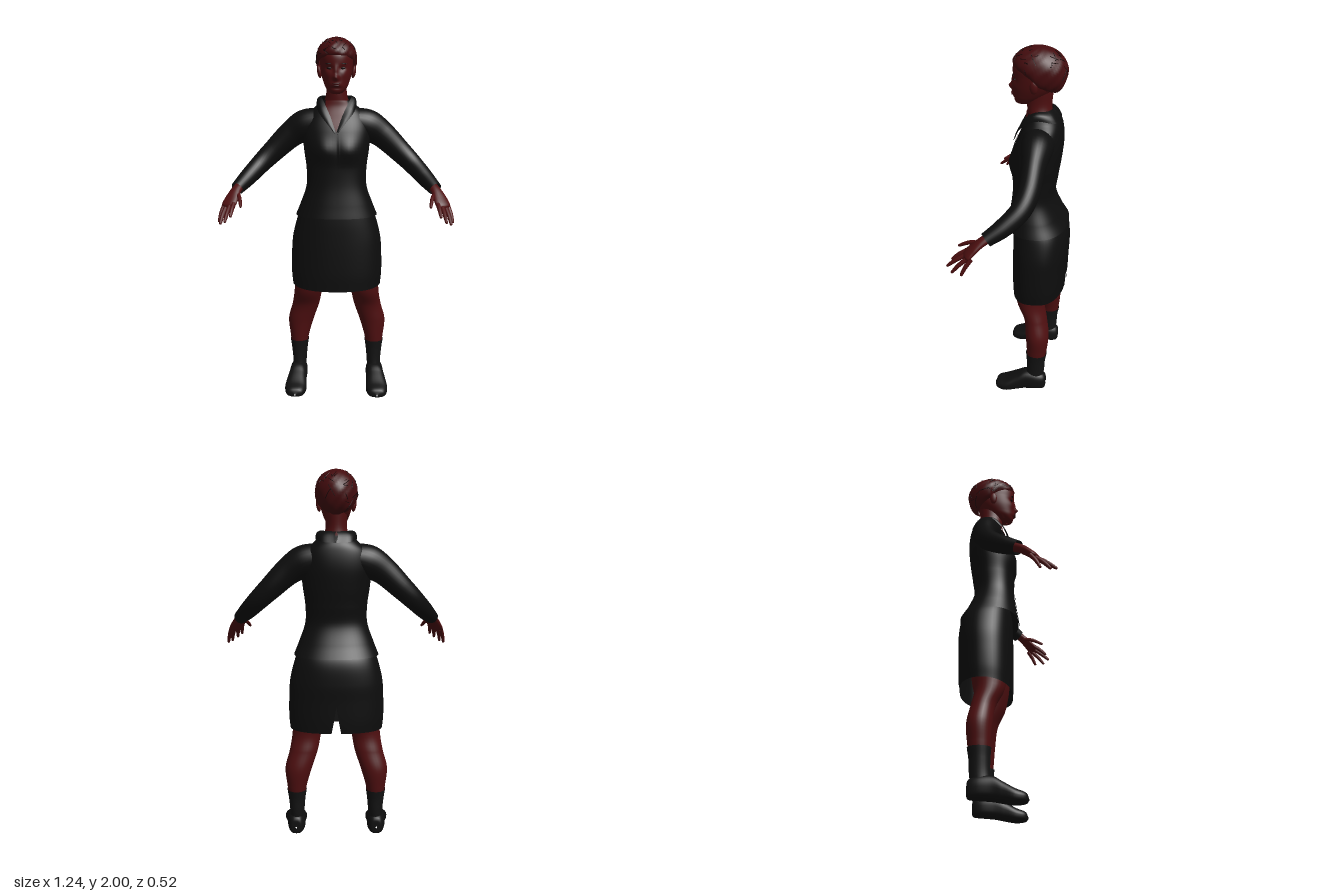
import * as THREE from 'three';
import { ParametricGeometry } from 'three/addons/geometries/ParametricGeometry.js';

const material = (name, color, side = THREE.FrontSide) => {
  const m = new THREE.MeshStandardMaterial({ color, side });
  m.name = name;
  return m;
};
const V = (a) => new THREE.Vector3(a[0], a[1], a[2]);
const TAU = Math.PI * 2;
const pow = (s, e) => Math.sign(s) * Math.pow(Math.abs(s), e);
const bump = (a, b) => Math.exp(-a * a - b * b);

// Smooth interpolation through rows of numbers
function sampler(rows) {
  const k = rows.length - 1;
  const a = new THREE.CatmullRomCurve3(rows.map(V), false, 'catmullrom', 0.5);
  const b = new THREE.CatmullRomCurve3(rows.map((r) => V([r[3], r[4] ?? 0, 0])), false, 'catmullrom', 0.5);
  return (v) => {
    const t = Math.min(1, Math.max(0, v)), p = a.getPoint(t), q = b.getPoint(t);
    return k ? [p.x, p.y, p.z, q.x, q.y] : rows[0];
  };
}

// Upright body: rows of [y, centreX, halfWidth, zFront, zBack]
function loft(rows, e = 1, rule = null) {
  const at = sampler(rows);
  return (u, v) => {
    const [y, cx, w, zf, zb] = at(v), th = (u - 0.5) * TAU;
    const p = [cx + w * pow(Math.sin(th), e), y, (zf + zb) / 2 + (zf - zb) / 2 * pow(Math.cos(th), e)];
    if (rule) rule(p, th, v);
    return p;
  };
}

// Limb along a path: rows of [x, y, z, horizontalRadius, otherRadius]
function limb(rows) {
  const at = sampler(rows), up = V([0, 1, 0]);
  const path = new THREE.CatmullRomCurve3(rows.map(V), false, 'catmullrom', 0.5);
  return (u, v) => {
    const [x, y, z, ra, rb] = at(v);
    const d = path.getTangent(Math.min(1, Math.max(0, v)));
    const a = up.clone().cross(d).normalize(), b = d.clone().cross(a);
    const c = ra * Math.cos(u * TAU), s = rb * Math.sin(u * TAU);
    return [x + a.x * c + b.x * s, y + a.y * c + b.y * s, z + a.z * c + b.z * s];
  };
}

export function createModel() {
  const model = new THREE.Group();
  model.name = 'woman';
  const skin = material('skin', 0x4e0f10, THREE.DoubleSide);
  const hairMat = material('hair', 0x430c0e, THREE.DoubleSide);
  const dark = material('dark strands and eyes', 0x140405);
  const lips = material('lips', 0x3a090b);
  const cloth = material('black cloth', 0x0d0d0d, THREE.DoubleSide);
  const sock = material('sock', 0x131313, THREE.DoubleSide);
  const leather = material('shoe leather', 0x101010);

  const add = (name, geo, mat) => {
    const m = new THREE.Mesh(geo, mat);
    m.name = name;
    model.add(m);
    return m;
  };
  // Parametric surface; side -1 mirrors it across x
  const surf = (name, mat, fn, nu, nv, side = 1) => add(name, new ParametricGeometry((u, v, t) => {
    const p = fn(side < 0 ? 1 - u : u, v);
    t.set(p[0] * side, p[1], p[2]);
  }, nu, nv), mat);
  const blob = (name, mat, pos, scale, rz = 0) => {
    const m = add(name, new THREE.SphereGeometry(1, 16, 10), mat);
    m.position.set(...pos);
    m.scale.set(...scale);
    m.rotation.z = rz;
  };

  // Jacket body with a soft bust
  const torso = loft([
    [1.035, 0, 0.226, 0.072, -0.25], [1.1, 0, 0.2, 0.062, -0.212], [1.2, 0, 0.166, 0.05, -0.175],
    [1.3, 0, 0.165, 0.048, -0.185], [1.4, 0, 0.178, 0.05, -0.2], [1.5, 0, 0.185, 0.033, -0.21],
    [1.58, 0, 0.165, 0, -0.205], [1.63, 0, 0.115, -0.02, -0.19], [1.665, 0, 0.075, -0.025, -0.155],
  ], 0.88, (p, th) => {
    if (Math.cos(th) > 0) p[2] += 0.02 * bump((Math.abs(p[0]) - 0.075) / 0.07, (p[1] - 1.405) / 0.06) * Math.cos(th);
  });
  surf('jacketBody', cloth, torso, 56, 48);
  // Front closing edge of the jacket
  surf('jacketPlacket', cloth, (u, v) => {
    const p = torso(0.5 + (u - 0.5) * 0.02, v * 0.62);
    return [p[0], p[1], p[2] + 0.004];
  }, 4, 30);
  // Bare chest in the neckline
  surf('neckline', skin, (u, v) => {
    const p = torso(0.5 + (u - 0.5) * 2 * 0.8 * Math.pow(v, 1.3) / TAU, 0.625 + 0.375 * v);
    return [p[0], p[1], p[2] + 0.005];
  }, 16, 16);

  // Skirt, open below, with a slit at the centre back
  const skirtAt = loft([
    [0.632, 0, 0.25, 0.04, -0.245], [0.7, 0, 0.256, 0.043, -0.249], [0.8, 0, 0.255, 0.043, -0.252],
    [0.9, 0, 0.248, 0.042, -0.256], [1.0, 0, 0.224, 0.04, -0.248], [1.06, 0, 0.2, 0.035, -0.22],
    [1.11, 0, 0.165, 0.02, -0.16],
  ], 0.85, (p, th, v) => { p[1] -= 0.022 * Math.max(0, Math.cos(th)) * Math.pow(1 - v, 8); });
  surf('skirt', cloth, (u, v) => {
    const slit = 0.022 * Math.max(0, 1 - v / 0.3);
    return skirtAt(0.5 + (u - 0.5) * (1 - slit), v);
  }, 56, 32);

  // Neck and head; a rule shapes nose, sockets, mouth and chin
  surf('neck', skin, loft([
    [1.61, 0, 0.08, -0.03, -0.16], [1.66, 0, 0.066, -0.025, -0.152], [1.71, 0, 0.055, -0.02, -0.148],
    [1.79, 0, 0.058, -0.02, -0.155],
  ]), 28, 14);
  surf('head', skin, loft([
    [1.7, 0, 0.004, 0.012, 0.002], [1.706, 0, 0.03, 0.034, -0.04], [1.73, 0, 0.054, 0.046, -0.085],
    [1.76, 0, 0.068, 0.05, -0.13], [1.8, 0, 0.08, 0.05, -0.165], [1.85, 0, 0.087, 0.05, -0.19],
    [1.9, 0, 0.088, 0.048, -0.19], [1.95, 0, 0.07, 0.02, -0.17], [1.98, 0, 0.01, -0.06, -0.08],
  ], 0.93, (p, th) => {
    if (Math.cos(th) < 0) return;
    const [x, y] = p, ax = Math.abs(x);
    p[2] += 0.022 * bump(x / 0.015, (y - 1.787) / 0.016) + 0.009 * bump(x / 0.011, (y - 1.82) / 0.025)
      - 0.009 * bump((ax - 0.035) / 0.02, (y - 1.835) / 0.014) + 0.007 * bump(x / 0.024, (y - 1.752) / 0.014)
      - 0.005 * bump(x / 0.03, (y - 1.733) / 0.008) + 0.004 * bump((ax - 0.045) / 0.02, (y - 1.8) / 0.02);
  }), 72, 64);
  blob('upperLip', lips, [0, 1.757, 0.053], [0.022, 0.0045, 0.007]);
  blob('lowerLip', lips, [0, 1.747, 0.052], [0.018, 0.005, 0.007]);

  // Short cropped hair: a dome with a hairline low at the back
  const hairPoint = (a, t, lift = 0) => {
    const f = Math.cos(a);
    const phi = t * (f > 0 ? 1.95 - 0.57 * Math.pow(f, 0.6) : 1.95 + 0.5 * -f);
    const r = 1 + lift + 0.022 * t * Math.sin(a * 9 + phi * 4) * Math.sin(phi * 9 + a * 3) - 0.1 * Math.pow(t, 12);
    const s = Math.sin(phi);
    return [0.111 * r * s * Math.sin(a), 1.88 + 0.117 * r * Math.cos(phi) * (phi > 1.57 ? 1.35 : 1),
      -0.08 + (f > 0 ? 0.142 : 0.143) * r * s * f];
  };
  surf('hair', hairMat, (u, v) => hairPoint(-u * TAU, 0.004 + 0.996 * v), 64, 28);
  let seed = 7;
  const rand = () => (seed = (seed * 16807) % 2147483647) / 2147483647;
  for (let i = 0; i < 70; i++) {
    const a = rand() * TAU, t = 0.2 + rand() * 0.65, da = (rand() - 0.5) * 0.7, dt = (rand() - 0.3) * 0.25;
    const pts = [0, 0.5, 1].map((k) => V(hairPoint(a + da * k, Math.min(0.95, t + dt * k), 0.008)));
    add('hairStrand', new THREE.TubeGeometry(new THREE.CatmullRomCurve3(pts), 6, 0.0016, 4), dark);
  }

  const fingers = [
    ['thumb', [0.525, 1.182, 0.098], [0.506, 1.166, 0.16], [0.494, 1.135, 0.215]],
    ['indexFinger', [0.536, 1.14, 0.165], [0.541, 1.115, 0.205], [0.545, 1.086, 0.238]],
    ['middleFinger', [0.557, 1.13, 0.162], [0.566, 1.095, 0.215], [0.572, 1.062, 0.256]],
    ['ringFinger', [0.578, 1.123, 0.15], [0.592, 1.083, 0.195], [0.6, 1.046, 0.226]],
    ['littleFinger', [0.593, 1.125, 0.132], [0.607, 1.085, 0.158], [0.615, 1.046, 0.176]],
  ];

  for (const s of [1, -1]) {
    // Face details
    blob('eye', dark, [s * 0.035, 1.835, 0.034], [0.015, 0.006, 0.008], s * 0.08);
    blob('eyebrow', dark, [s * 0.038, 1.859, 0.04], [0.021, 0.0035, 0.006], s * -0.1);
    blob('ear', skin, [s * 0.092, 1.815, -0.07], [0.012, 0.034, 0.02], s * -0.15);

    // Collar and lapel
    const curve = (pts) => new THREE.CatmullRomCurve3(pts.map(V));
    const inner = curve([[0, 1.685, -0.156], [0.055, 1.687, -0.135], [0.08, 1.685, -0.075],
      [0.058, 1.64, -0.018], [0.03, 1.58, 0.012], [0.002, 1.5, 0.045]]);
    const outer = curve([[0, 1.63, -0.2], [0.08, 1.635, -0.178], [0.108, 1.65, -0.085],
      [0.095, 1.605, -0.012], [0.048, 1.545, 0.03], [0.004, 1.49, 0.05]]);
    surf('collar', cloth, (u, v) => {
      const p = inner.getPoint(u).lerp(outer.getPoint(u), v);
      const puff = 0.008 * Math.sin(v * Math.PI);
      return [p.x + puff, p.y + puff, p.z];
    }, 30, 6, s);

    // Sleeve, palm and fingers
    surf('sleeve', cloth, limb([
      [0.08, 1.55, -0.1, 0.085, 0.075], [0.17, 1.525, -0.102, 0.08, 0.088], [0.25, 1.478, -0.104, 0.062, 0.073],
      [0.35, 1.385, -0.1, 0.055, 0.061], [0.42, 1.317, -0.072, 0.051, 0.054], [0.48, 1.255, -0.005, 0.046, 0.047],
      [0.53, 1.205, 0.072, 0.037, 0.036],
    ]), 28, 36, s);
    surf('palm', skin, limb([
      [0.512, 1.222, 0.045, 0.027, 0.024], [0.535, 1.195, 0.09, 0.03, 0.021], [0.553, 1.158, 0.132, 0.04, 0.018],
      [0.567, 1.128, 0.16, 0.04, 0.015], [0.572, 1.117, 0.17, 0.006, 0.004],
    ]), 20, 18, s);
    for (const [name, a, b, c] of fingers) {
      const tip = c.map((k, i) => k + (k - b[i]) * 0.04);
      surf(name, skin, limb([[...a, 0.012, 0.012], [...b, 0.0105, 0.0105], [...c, 0.007, 0.007], [...tip, 0.001, 0.001]]), 10, 12, s);
    }

    // Leg, sock and shoe
    surf('leg', skin, loft([
      [0.23, 0.218, 0.044, -0.074, -0.17], [0.3, 0.217, 0.054, -0.068, -0.182], [0.4, 0.207, 0.073, -0.06, -0.19],
      [0.5, 0.178, 0.077, -0.045, -0.172], [0.6, 0.16, 0.08, 0, -0.157], [0.75, 0.135, 0.1, 0.02, -0.19],
      [0.95, 0.105, 0.1, 0, -0.2],
    ]), 28, 36, s);
    surf('sock', sock, loft([
      [0.08, 0.22, 0.038, -0.06, -0.16], [0.15, 0.218, 0.04, -0.068, -0.17], [0.22, 0.218, 0.046, -0.068, -0.174],
      [0.275, 0.218, 0.054, -0.064, -0.183],
    ]), 24, 12, s);
    // Shoe rows run heel to toe: [z, centreX, halfWidth, yBottom, yTop]
    const shoe = sampler([
      [-0.18, 0.222, 0.004, 0.06, 0.07], [-0.174, 0.222, 0.032, 0.028, 0.115], [-0.13, 0.222, 0.048, 0.022, 0.135],
      [-0.06, 0.225, 0.05, 0.016, 0.135], [-0.01, 0.229, 0.056, 0.008, 0.108], [0.05, 0.233, 0.061, 0, 0.073],
      [0.1, 0.233, 0.044, 0.005, 0.053], [0.115, 0.233, 0.004, 0.018, 0.026],
    ]);
    surf('shoe', leather, (u, v) => {
      const [z, cx, w, y0, y1] = shoe(v), c = Math.cos(u * TAU);
      return [cx - w * pow(Math.sin(u * TAU), 0.75), (y0 + y1) / 2 + (y1 - y0) / 2 * pow(c, c < 0 ? 0.55 : 0.95), z];
    }, 32, 32, s);
  }
  return model;
}
